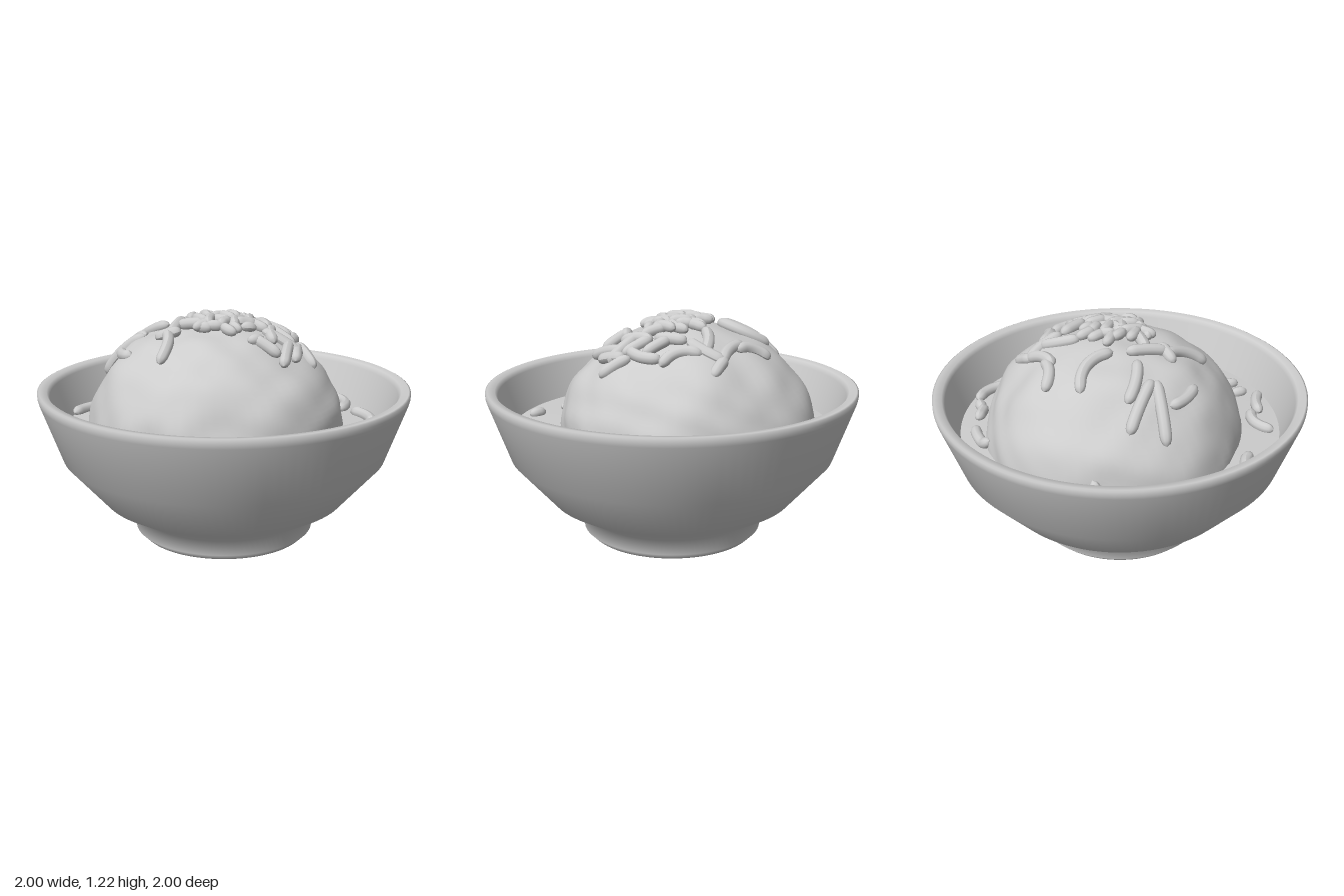
import * as THREE from 'three';
import { mergeVertices } from 'three/addons/utils/BufferGeometryUtils.js';

const clay = new THREE.MeshStandardMaterial({ color: 0xcccccc });
clay.name = 'light grey';

const MOUND = { x: -0.038, y: 0.58, z: -0.073, r: 0.69, h: 0.585 };
const SOUP_Y = 0.6;

// Seeded random numbers from 0 to 1
function makeRandom(seed) {
  return () => (seed = (seed * 16807) % 2147483647) / 2147483647;
}

function lathe(name, profile) {
  const points = profile.map(([r, y]) => new THREE.Vector2(r, y));
  const mesh = new THREE.Mesh(new THREE.LatheGeometry(points, 96), clay);
  mesh.name = name;
  return mesh;
}

// Height of the mound or of the soup around it
function surfaceHeight(x, z) {
  const d = Math.hypot(x - MOUND.x, z - MOUND.z) / MOUND.r;
  return d < 1 ? Math.max(SOUP_Y, MOUND.y + MOUND.h * Math.sqrt(1 - d * d)) : SOUP_Y;
}

// Lumpy dome: a sphere displaced by waves in scattered directions
function makeMound() {
  let geo = new THREE.SphereGeometry(1, 72, 40, 0, Math.PI * 2, 0, Math.PI * 0.6);
  geo.deleteAttribute('uv');
  geo.deleteAttribute('normal');
  geo = mergeVertices(geo);
  const rand = makeRandom(41);
  const waves = Array.from({ length: 18 }, (_, i) => ({
    dir: new THREE.Vector3(rand() - 0.5, rand() - 0.5, rand() - 0.5).normalize(),
    freq: 6 + i * 1.3,
    phase: rand() * 6.28,
  }));
  const pos = geo.attributes.position;
  const v = new THREE.Vector3();
  for (let i = 0; i < pos.count; i++) {
    v.fromBufferAttribute(pos, i);
    const bump = waves.reduce((sum, w) => sum + 0.05 / w.freq * Math.sin(w.freq * v.dot(w.dir) + w.phase), 0);
    v.multiplyScalar(1 + bump);
    pos.setXYZ(i, MOUND.x + v.x * MOUND.r, MOUND.y + v.y * MOUND.h, MOUND.z + v.z * MOUND.r);
  }
  geo.computeVertexNormals();
  const mesh = new THREE.Mesh(geo, clay);
  mesh.name = 'mound';
  return mesh;
}

// Curved strip with rounded ends, draped over the surface
function makeStrip(name, x, z, degrees, length, bend, lift = 0.014, radius = 0.031) {
  const a = THREE.MathUtils.degToRad(degrees);
  const points = [-1, -0.5, 0, 0.5, 1].map((t) => {
    const along = t * length / 2;
    const side = bend * (0.5 - t * t);
    const px = x + Math.cos(a) * along - Math.sin(a) * side;
    const pz = z + Math.sin(a) * along + Math.cos(a) * side;
    return new THREE.Vector3(px, surfaceHeight(px, pz) + lift, pz);
  });
  const curve = new THREE.CatmullRomCurve3(points);
  const rings = 24, sides = 10;
  const geo = new THREE.TubeGeometry(curve, rings, radius, sides, false);
  const pos = geo.attributes.position;
  const cap = Math.min(1, 3 * radius / length);
  const v = new THREE.Vector3();
  for (let i = 0; i <= rings; i++) {
    const centre = curve.getPointAt(i / rings);
    const t = Math.max(0, Math.abs(2 * i / rings - 1) - 1 + cap) / cap;
    const scale = Math.sqrt(Math.max(0, 1 - t * t));
    for (let j = 0; j <= sides; j++) {
      const k = i * (sides + 1) + j;
      v.fromBufferAttribute(pos, k).sub(centre).multiplyScalar(scale).add(centre);
      pos.setXYZ(k, v.x, v.y, v.z);
    }
  }
  geo.computeVertexNormals();
  const mesh = new THREE.Mesh(geo, clay);
  mesh.name = name;
  return mesh;
}

// Each row: x, z, angle, length, bend
const soupStrips = [
  [-0.25, -0.77, 0, 0.23, 0], [0.33, -0.69, 15, 0.23, -0.02], [0.55, -0.54, 50, 0.14, 0],
  [0.62, -0.5, 20, 0.1, 0], [0.71, -0.33, 92, 0.29, -0.06], [0.79, -0.04, 75, 0.25, -0.03],
  [0.68, 0.25, 130, 0.22, 0.05], [0.62, 0.45, 105, 0.29, -0.03], [0.47, 0.7, 118, 0.21, -0.05],
  [0.24, 0.74, 20, 0.1, 0], [-0.03, 0.72, -30, 0.23, -0.06], [-0.2, 0.72, -70, 0.1, 0],
  [-0.35, 0.72, 45, 0.22, -0.02], [-0.5, 0.57, 15, 0.23, -0.05], [-0.78, 0.08, 105, 0.22, 0.02],
  [-0.76, 0.22, 45, 0.2, -0.03], [-0.75, -0.34, -45, 0.23, -0.02], [-0.58, -0.52, -42, 0.22, -0.04],
];
const moundStrips = [
  [-0.47, -0.26, 65, 0.27, 0], [-0.53, -0.18, 28, 0.25, 0], [-0.37, -0.22, 52, 0.24, 0.02],
  [-0.53, -0.03, 78, 0.21, 0.02], [-0.18, -0.33, 75, 0.28, -0.06], [0, -0.48, 35, 0.2, 0.03],
  [0.12, -0.42, 0, 0.22, 0.02], [0.26, -0.43, 0, 0.14, 0], [0.14, -0.29, -30, 0.22, -0.02],
  [0.22, -0.33, 90, 0.22, -0.02], [0.32, -0.24, 45, 0.22, 0.04], [0.23, -0.13, 80, 0.18, 0],
  [0.37, -0.05, 100, 0.22, -0.03], [0.3, -0.09, 30, 0.16, 0], [-0.25, -0.03, 110, 0.23, 0],
  [-0.32, 0.16, 100, 0.26, -0.03], [-0.3, 0.06, 10, 0.14, 0], [-0.17, 0, 20, 0.16, 0],
  [-0.12, 0.08, 30, 0.11, 0], [0.43, 0.08, 60, 0.16, 0], [0.31, 0.2, 105, 0.24, 0],
  [0.3, 0.1, 20, 0.22, 0], [0.2, 0.22, 30, 0.16, 0], [0.25, 0.06, 95, 0.2, 0.02],
  [0.15, 0.19, -30, 0.1, 0], [0.37, 0.14, -80, 0.18, 0], [0.31, 0.02, 40, 0.16, 0],
];

export function createModel() {
  const model = new THREE.Group();
  model.name = 'filledBowl';

  // Bowl in one turn: flared foot, wall, rim and inside
  model.add(lathe('bowl', [
    [0, 0], [0.455, 0], [0.49, 0.035], [0.478, 0.11], [0.67, 0.22], [0.88, 0.46], [0.995, 0.78],
    [1, 0.8], [1, 0.825], [0.99, 0.83], [0.95, 0.825], [0.935, 0.8], [0.868, 0.6], [0.82, 0.48],
    [0.62, 0.3], [0, 0.2],
  ]));

  // Soup, shaded softly towards its edge
  model.add(lathe('soup', [[0.866, 0.55], [0.87, SOUP_Y], [0, SOUP_Y + 0.01]]));
  model.add(makeMound());

  // Strips floating in the soup and lying over the mound
  const toppings = new THREE.Group();
  toppings.name = 'toppings';
  soupStrips.forEach((s) => toppings.add(makeStrip('soupStrip', ...s)));
  moundStrips.forEach((s) => toppings.add(makeStrip('moundStrip', ...s)));

  // Small pieces heaped at the summit
  const rand = makeRandom(7);
  for (let i = 0; i < 24; i++) {
    const a = i * 2.4, r = 0.17 * Math.sqrt(i / 24);
    toppings.add(makeStrip('summitPiece', 0.02 + r * Math.cos(a), -0.02 + r * Math.sin(a),
      rand() * 180, 0.08 + rand() * 0.07, 0.01, 0.01 + rand() * 0.02, 0.029));
  }
  model.add(toppings);
  return model;
}
